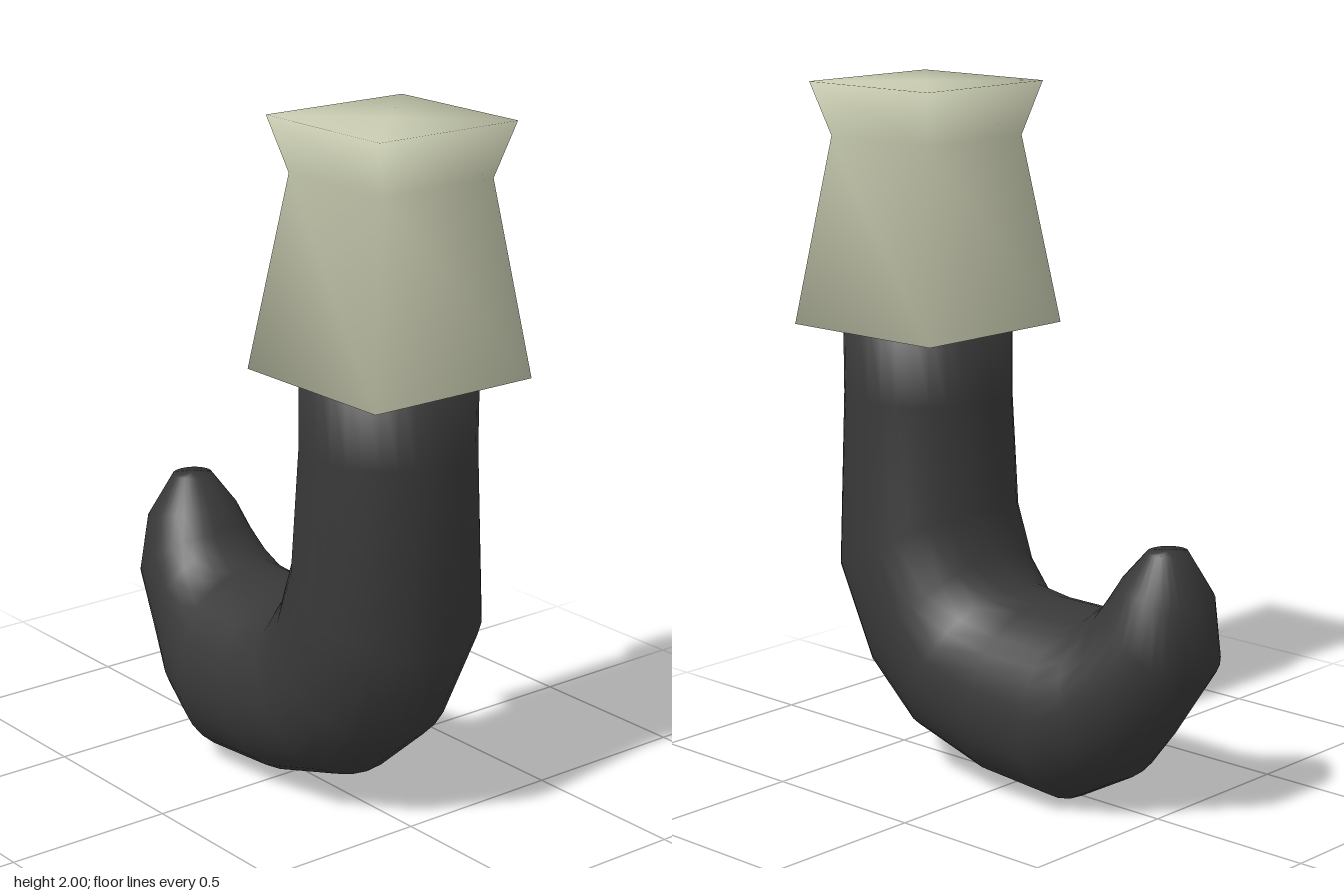
import * as THREE from 'three';

// Smooth closed skin over a list of equal-length rings of [x, y, z] points
function loft(rings) {
  const n = rings[0].length, pos = rings.flat(2), idx = [];
  for (let i = 0; i < rings.length - 1; i++) {
    for (let j = 0; j < n; j++) {
      const k = (j + 1) % n;
      const a = i * n + j, b = i * n + k, c = a + n, d = b + n;
      idx.push(a, b, c, b, d, c);
    }
  }
  // End caps share the ring corners, so shading rolls over the rims
  for (const [r, flip] of [[0, false], [rings.length - 1, true]]) {
    const centre = pos.length / 3;
    for (let axis = 0; axis < 3; axis++) {
      pos.push(rings[r].reduce((s, p) => s + p[axis], 0) / n);
    }
    for (let j = 0; j < n; j++) {
      const a = r * n + j, b = r * n + (j + 1) % n;
      idx.push(centre, ...(flip ? [a, b] : [b, a]));
    }
  }
  const geo = new THREE.BufferGeometry();
  geo.setAttribute('position', new THREE.Float32BufferAttribute(pos, 3));
  geo.setIndex(idx);
  geo.computeVertexNormals();
  return geo;
}

// Elliptical ring spanning an inner and an outer point, with half width w in z
function ellipse([ix, iy, ox, oy, w], segments = 32) {
  return Array.from({ length: segments }, (_, j) => {
    const a = (j / segments) * Math.PI * 2, t = (1 + Math.cos(a)) / 2;
    return [ix + (ox - ix) * t, iy + (oy - iy) * t, w * Math.sin(a)];
  });
}

// Square ring of half size h at height y
const square = (x, y, h) =>
  [[1, -1], [1, 1], [-1, 1], [-1, -1]].map(([sx, sz]) => [x + sx * h, y, sz * h]);

function part(name, geometry, color) {
  const mesh = new THREE.Mesh(geometry, new THREE.MeshStandardMaterial({ color }));
  mesh.name = name;
  return mesh;
}

export function createModel() {
  const group = new THREE.Group();
  group.name = 'hookWithSocket';

  // Curved hook: inner x, y, outer x, y, half width, from the shank to the tip
  const sections = [
    [0.14, 1.36, 0.63, 1.36, 0.245],
    [0.14, 1.1, 0.63, 1.1, 0.245],
    [0.135, 0.79, 0.635, 0.55, 0.275],
    [0.095, 0.655, 0.49, 0.26, 0.275],
    [0.04, 0.575, 0.305, 0.1, 0.275],
    [-0.08, 0.56, 0.04, 0.02, 0.275],
    [-0.24, 0.56, -0.22, 0.0, 0.275],
    [-0.29, 0.57, -0.405, 0.1, 0.24],
    [-0.345, 0.61, -0.5, 0.215, 0.21],
    [-0.365, 0.645, -0.66, 0.44, 0.177],
    [-0.4, 0.7, -0.655, 0.64, 0.135],
    [-0.47, 0.78, -0.58, 0.78, 0.06],
  ];
  group.add(part('hook', loft(sections.map((s) => ellipse(s))), 0x383838));

  // Square socket with a pinched neck and a flared rim
  const cx = 0.384;
  const socket = [square(cx, 2, 0.235), square(cx, 1.845, 0.192), square(cx, 1.3, 0.272)];
  group.add(part('socket', loft(socket), 0xc8cbb0));

  return group;
}
